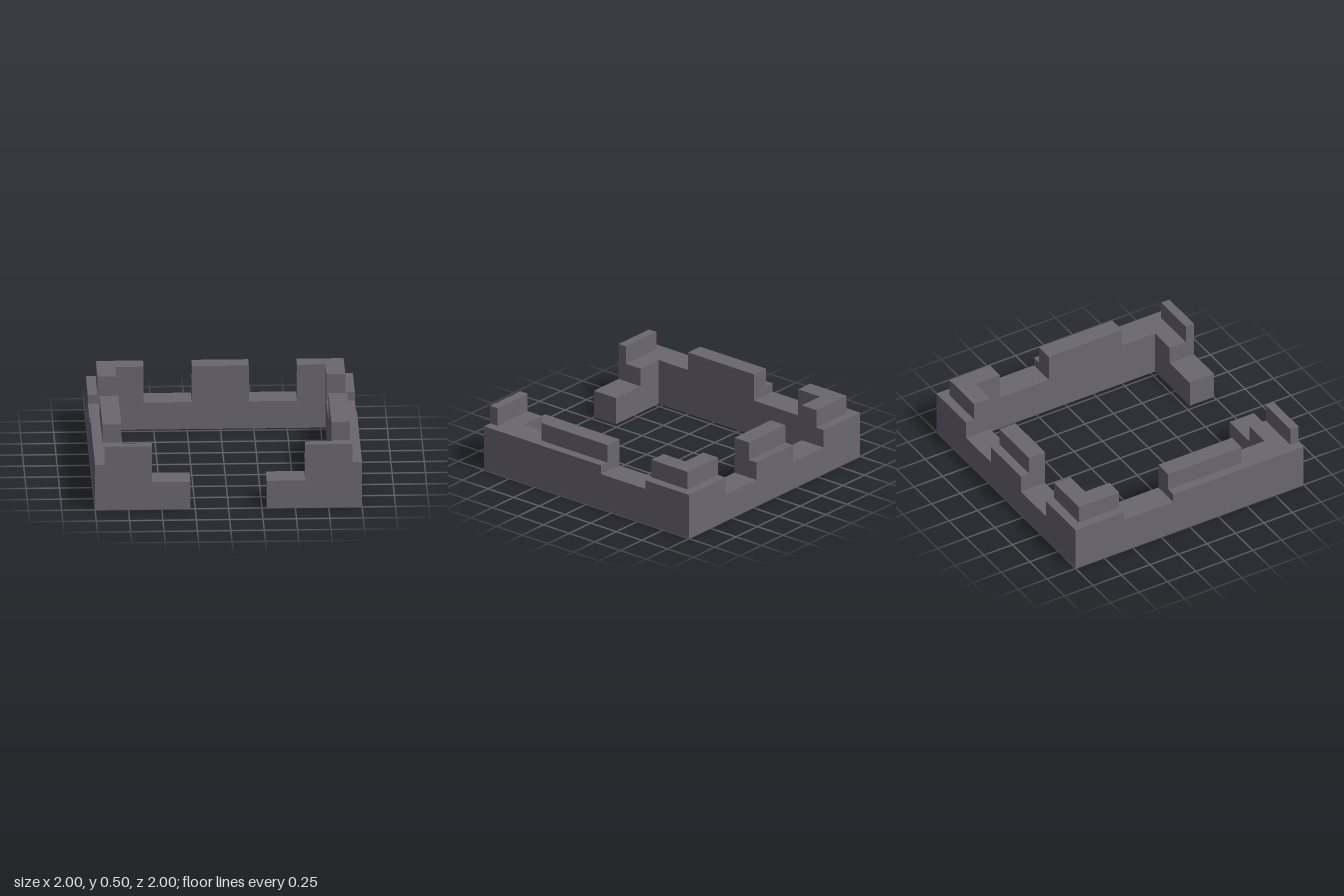
import * as THREE from 'three';

// Plan lines: outer face, ledge, inner face, and where the battlements start and stop
const OUT = 1, LEDGE = 0.928, IN = 0.787, CORNER = 0.574, GATE = 0.286, MERLON = 0.213;
// Levels: low crenel, side crenel, walkway, battlement top
const LOW = 0.215, DIP = 0.287, WALK = 0.357, TOP = 0.5;
const SIDE_FRONT = 0.5, SIDE_BACK = -0.144;

const half = [MERLON, GATE, CORNER, IN, LEDGE, OUT];
const xs = [...half.map((v) => -v).reverse(), ...half];
const zs = [-OUT, -LEDGE, -IN, -CORNER, SIDE_BACK, SIDE_FRONT, IN, LEDGE, OUT];

// Which wall stands at a point of the plan
function wallAt(x, z) {
  const ax = Math.abs(x);
  if (ax > OUT || Math.abs(z) > OUT) return null;
  if (z < -IN) return 'backWall';
  if (z > IN) return ax < GATE ? null : x > 0 ? 'frontWallLeft' : 'frontWallRight';
  if (ax > IN) return x > 0 ? 'leftWall' : 'rightWall';
  return null;
}

// Height of the walls at a point of the plan
function heightAt(x, z) {
  const ax = Math.abs(x), wall = wallAt(x, z);
  if (!wall) return 0;
  if (wall === 'backWall') {
    if (ax > MERLON && ax < CORNER) return LOW;
    return z > -LEDGE && ax < LEDGE ? TOP : WALK;
  }
  if (wall.startsWith('front')) {
    if (ax < CORNER) return LOW;
    return z > LEDGE && ax < LEDGE ? TOP : WALK;
  }
  if (z > -CORNER && z < SIDE_BACK) return DIP;
  return z < SIDE_FRONT && ax < LEDGE ? TOP : WALK;
}

// Skin one wall: top, underside, and each side that rises above its neighbour
function buildWall(name, material) {
  const pos = [];
  const quad = (a, b, c, d) => pos.push(...a, ...b, ...c, ...a, ...c, ...d);
  const mid = (list, i) => (i < 0 || i >= list.length - 1 ? (i < 0 ? -2 : 2) : (list[i] + list[i + 1]) / 2);

  for (let i = 0; i < xs.length - 1; i++) {
    for (let k = 0; k < zs.length - 1; k++) {
      if (wallAt(mid(xs, i), mid(zs, k)) !== name) continue;
      const h = heightAt(mid(xs, i), mid(zs, k));
      const [x0, x1, z0, z1] = [xs[i], xs[i + 1], zs[k], zs[k + 1]];
      quad([x0, h, z1], [x1, h, z1], [x1, h, z0], [x0, h, z0]);
      quad([x0, 0, z0], [x1, 0, z0], [x1, 0, z1], [x0, 0, z1]);
      const sides = [
        [0, 1, x0, z1, x1, z1],
        [1, 0, x1, z1, x1, z0],
        [0, -1, x1, z0, x0, z0],
        [-1, 0, x0, z0, x0, z1],
      ];
      for (const [di, dk, ax, az, bx, bz] of sides) {
        const n = heightAt(mid(xs, i + di), mid(zs, k + dk));
        if (n < h) quad([ax, n, az], [bx, n, bz], [bx, h, bz], [ax, h, az]);
      }
    }
  }
  const geometry = new THREE.BufferGeometry();
  geometry.setAttribute('position', new THREE.Float32BufferAttribute(pos, 3));
  geometry.computeVertexNormals();
  const mesh = new THREE.Mesh(geometry, material);
  mesh.name = name;
  return mesh;
}

export function createModel() {
  const group = new THREE.Group();
  group.name = 'battlements';
  const stone = new THREE.MeshStandardMaterial({ color: 0x6b6772, flatShading: true });
  for (const name of ['backWall', 'leftWall', 'rightWall', 'frontWallLeft', 'frontWallRight']) {
    group.add(buildWall(name, stone));
  }
  return group;
}
